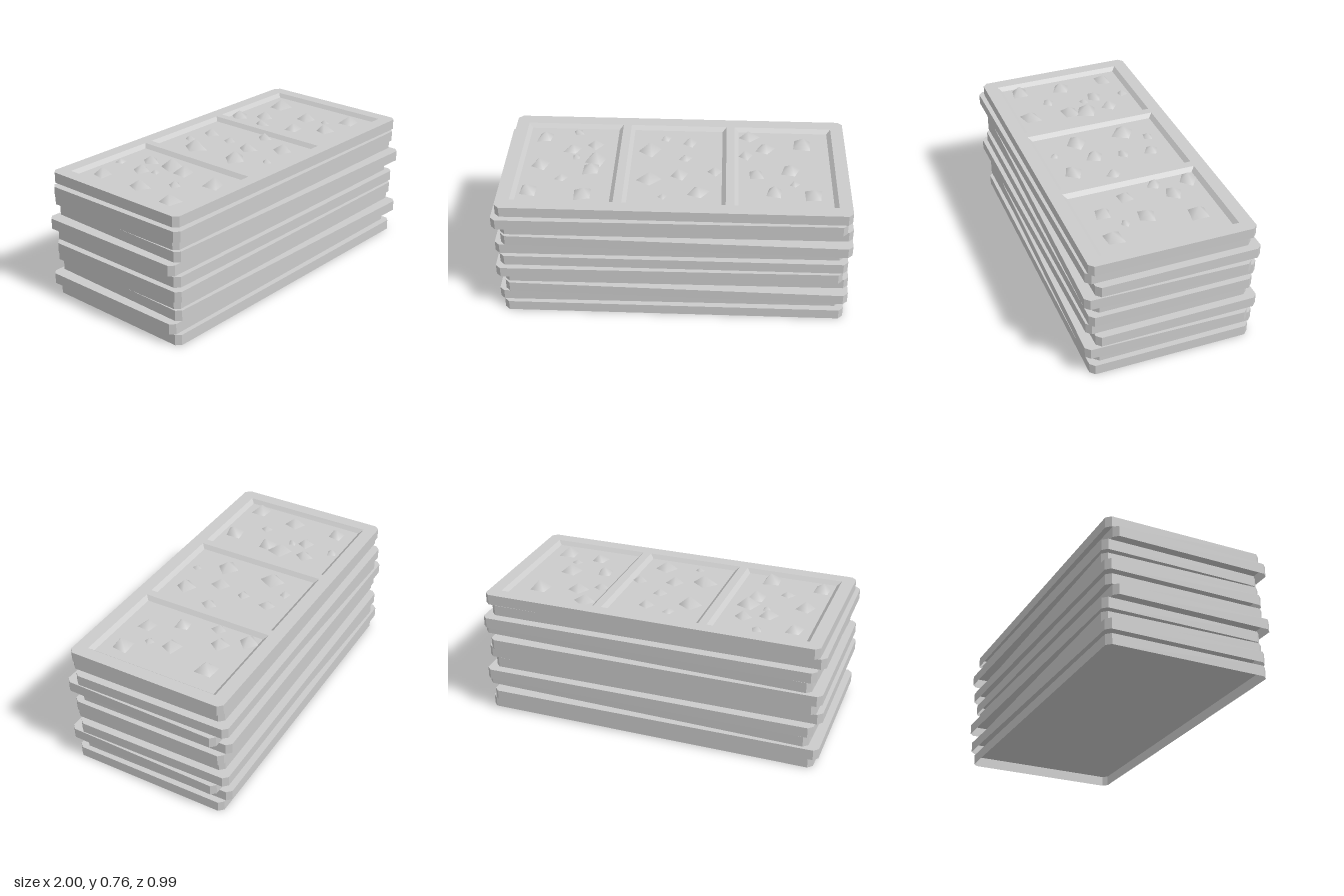
import * as THREE from 'three';
import { mergeVertices } from 'three/addons/utils/BufferGeometryUtils.js';

const HX = 0.968, HZ = 0.4635, CHAMFER = 0.026; // tray half sizes and corner cut
const THICK = 0.06, PITCH = 0.067, DEPTH = 0.021; // tray height, stacking step, recess depth
const PAN_X = 0.2825, PAN_Z = 0.3875, PAN_STEP = 0.6125, SLOPE = 0.023;

const trayMat = new THREE.MeshStandardMaterial({ color: 0xcccccc, flatShading: true, side: THREE.DoubleSide });
const chipMat = new THREE.MeshStandardMaterial({ color: 0xcccccc, side: THREE.DoubleSide });

// Loops are [x, y] points, anticlockwise from above, with z = -y
const c = CHAMFER;
const OUTLINE = [
  [-HX + c, -HZ], [HX - c, -HZ], [HX, -HZ + c], [HX, HZ - c],
  [HX - c, HZ], [-HX + c, HZ], [-HX, HZ - c], [-HX, -HZ + c],
];

function rectangle(x, hx, hz) {
  return [[x - hx, -hz], [x + hx, -hz], [x + hx, hz], [x - hx, hz]];
}

// Strip of quads joining two loops at two heights
function band(a, ya, b, yb) {
  const pos = [];
  a.forEach((p, i) => {
    const j = (i + 1) % a.length;
    const p0 = [p[0], ya, -p[1]], p1 = [a[j][0], ya, -a[j][1]];
    const q0 = [b[i][0], yb, -b[i][1]], q1 = [b[j][0], yb, -b[j][1]];
    pos.push(...p0, ...p1, ...q1, ...p0, ...q1, ...q0);
  });
  const geo = new THREE.BufferGeometry();
  geo.setAttribute('position', new THREE.Float32BufferAttribute(pos, 3));
  geo.computeVertexNormals();
  return geo;
}

// Flat face filling a loop, facing up
function plate(loop, y, holes = []) {
  const toPoints = (l) => l.map(([px, py]) => new THREE.Vector2(px, py));
  const shape = new THREE.Shape(toPoints(loop));
  for (const h of holes) shape.holes.push(new THREE.Path(toPoints(h)));
  return new THREE.ShapeGeometry(shape).rotateX(-Math.PI / 2).translate(0, y, 0);
}

function addMesh(group, name, geo, mat = trayMat) {
  const mesh = new THREE.Mesh(geo, mat);
  mesh.name = name;
  group.add(mesh);
  return mesh;
}

// Irregular four-sided chip with a slightly off-centre peak
function chipGeometry(size, seed) {
  const geo = new THREE.ConeGeometry(1, 1, 4, 1, true).translate(0, 0.5, 0);
  geo.deleteAttribute('normal');
  geo.deleteAttribute('uv');
  const p = geo.attributes.position;
  for (let k = 0; k < p.count; k++) {
    const x = p.getX(k), z = p.getZ(k);
    if (p.getY(k) > 0.5) {
      p.setXYZ(k, 0.12 * Math.sin(seed * 2.3), 1, 0.12 * Math.cos(seed * 1.7));
    } else {
      const side = Math.round(Math.atan2(z, x) / (Math.PI / 2)) & 3;
      const r = 1 + 0.13 * Math.sin(seed * 3.1 + side * 2.2);
      p.setXYZ(k, x * r, 0, z * r * 0.95);
    }
  }
  const chip = mergeVertices(geo);
  chip.computeVertexNormals();
  return chip.scale(size * 1.12, size * 0.85, size * 1.12);
}

// x, z, size, turn of every chip
const CHIPS = [
  [-0.78, -0.26, 0.05, 0.7], [-0.59, -0.32, 0.03, 1.1], [-0.605, -0.14, 0.047, 0.4], [-0.48, -0.195, 0.046, 0.1],
  [-0.575, -0.065, 0.025, 1], [-0.465, -0.04, 0.064, 0.4], [-0.48, 0.055, 0.056, 0.8], [-0.775, 0.015, 0.054, 0.4],
  [-0.64, 0.145, 0.034, 0.3], [-0.81, 0.27, 0.055, 0.7], [-0.505, 0.295, 0.058, 0.9],
  [-0.16, -0.155, 0.064, 0.2], [-0.07, -0.275, 0.03, 0.5], [0.07, -0.24, 0.042, 0.3], [0.05, -0.075, 0.034, 0.3],
  [0.02, 0.085, 0.05, 0.3], [-0.15, 0.14, 0.06, 0.1], [0.22, 0.045, 0.041, 0.1], [0.13, 0.255, 0.054, 0.3], [-0.065, 0.295, 0.025, 0.2],
  [0.415, -0.31, 0.052, 0.1], [0.72, -0.24, 0.062, 0.7], [0.505, -0.185, 0.05, 0.3], [0.395, -0.12, 0.04, 0.2],
  [0.645, 0.03, 0.053, 0.5], [0.45, 0.07, 0.048, 0.9], [0.665, 0.155, 0.026, 0.2], [0.55, 0.235, 0.05, 0.6], [0.765, 0.26, 0.056, 0.8],
];

// x, z, turn of each layer; the pattern repeats every five trays
const LAYERS = [
  [0, 0.002, 0], [-0.027, -0.0225, 0.0075], [0.022, 0.012, -0.0195],
  [0.011, -0.0225, 0.0075], [-0.027, 0.02, 0.0085],
];
const COUNT = 11;

export function createModel() {
  const model = new THREE.Group();
  model.name = 'trayStack';
  const walls = band(OUTLINE, 0, OUTLINE, THICK);
  const lid = plate(OUTLINE, THICK);

  for (let i = 0; i < COUNT; i++) {
    const [x, z, turn] = LAYERS[i % 5];
    const tray = new THREE.Group();
    tray.name = `tray${i + 1}`;
    tray.position.set(x, i * PITCH, z);
    tray.rotation.y = turn;
    model.add(tray);
    addMesh(tray, 'trayWalls', walls);
    // Covered trays have a plain top and an open underside
    if (i < COUNT - 1) {
      addMesh(tray, 'trayTop', lid);
      continue;
    }

    // Top tray: frame around three shallow recesses with sloping walls
    const floorY = THICK - DEPTH;
    const rims = [-1, 0, 1].map((k) => rectangle(k * PAN_STEP, PAN_X, PAN_Z));
    addMesh(tray, 'trayFrame', plate(OUTLINE, THICK, rims));
    rims.forEach((rim, k) => {
      const floor = rectangle((k - 1) * PAN_STEP, PAN_X - SLOPE, PAN_Z - SLOPE);
      addMesh(tray, 'recessWalls', band(rim, THICK, floor, floorY));
      addMesh(tray, 'recessFloor', plate(floor, floorY));
    });

    // Chips scattered over the recess floors
    CHIPS.forEach(([cx, cz, size, angle], n) => {
      const chip = addMesh(tray, 'chip', chipGeometry(size, n + 1), chipMat);
      chip.position.set(cx, floorY, cz);
      chip.rotation.y = angle;
    });
  }
  return model;
}
